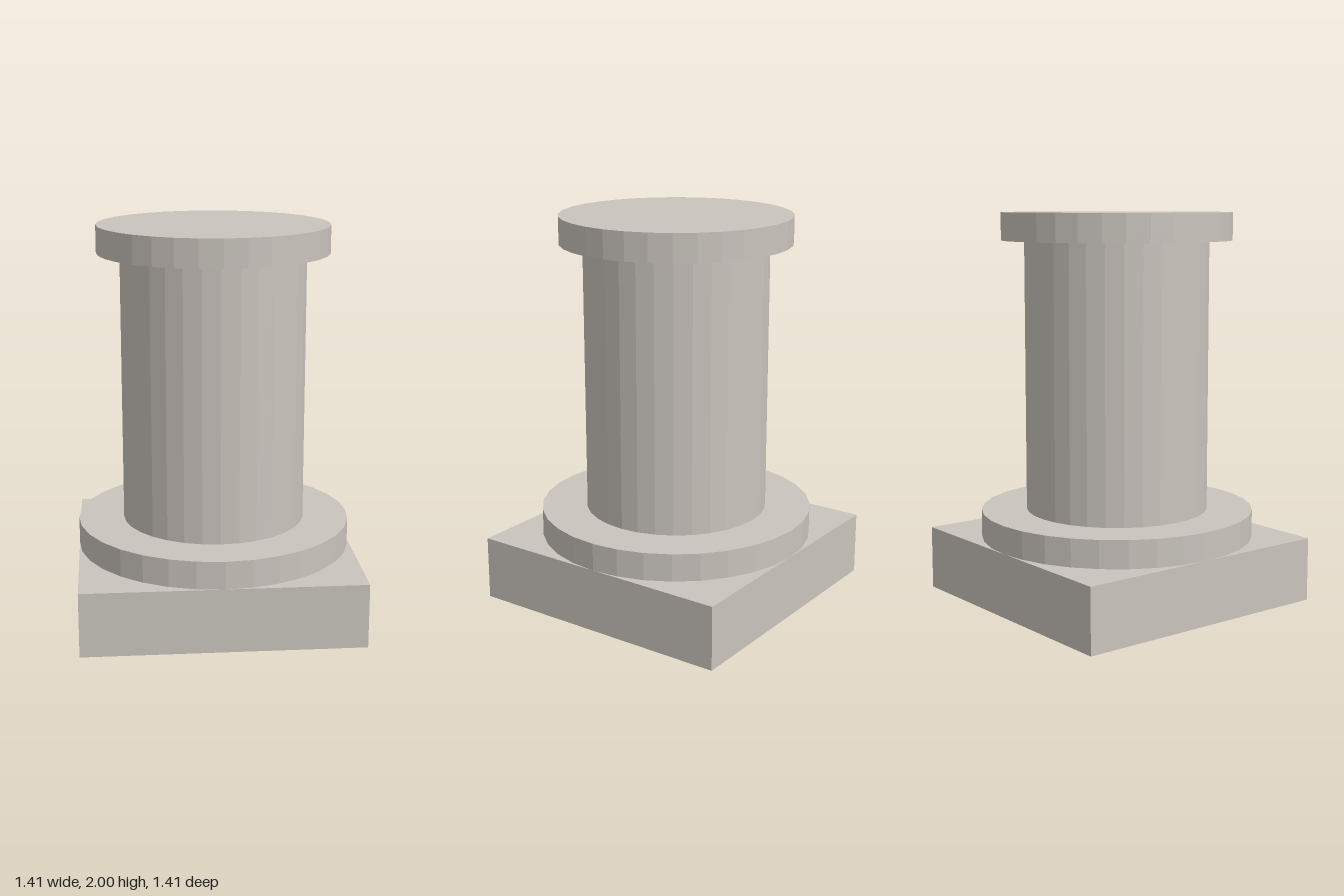
import * as THREE from 'three';

export function createModel() {
  const group = new THREE.Group();
  const stone = new THREE.MeshStandardMaterial({ color: 0xcac4bd });
  stone.name = 'stone';

  const add = (name, geometry, bottom, top) => {
    // Unshared vertices give each side its own flat normal
    const flat = geometry.toNonIndexed();
    flat.computeVertexNormals();
    const mesh = new THREE.Mesh(flat, stone);
    mesh.name = name;
    mesh.position.y = (bottom + top) / 2;
    group.add(mesh);
  };
  const addDrum = (name, radius, bottom, top) =>
    add(name, new THREE.CylinderGeometry(radius, radius, top - bottom, 32), bottom, top);

  // Square plinth
  add('plinth', new THREE.BoxGeometry(1.412, 0.329, 1.412), 0, 0.329);

  // Round base ring, shaft and cap
  addDrum('baseRing', 0.706, 0.329, 0.471);
  addDrum('shaft', 0.471, 0.471, 1.859);
  addDrum('cap', 0.588, 1.859, 2);

  return group;
}
